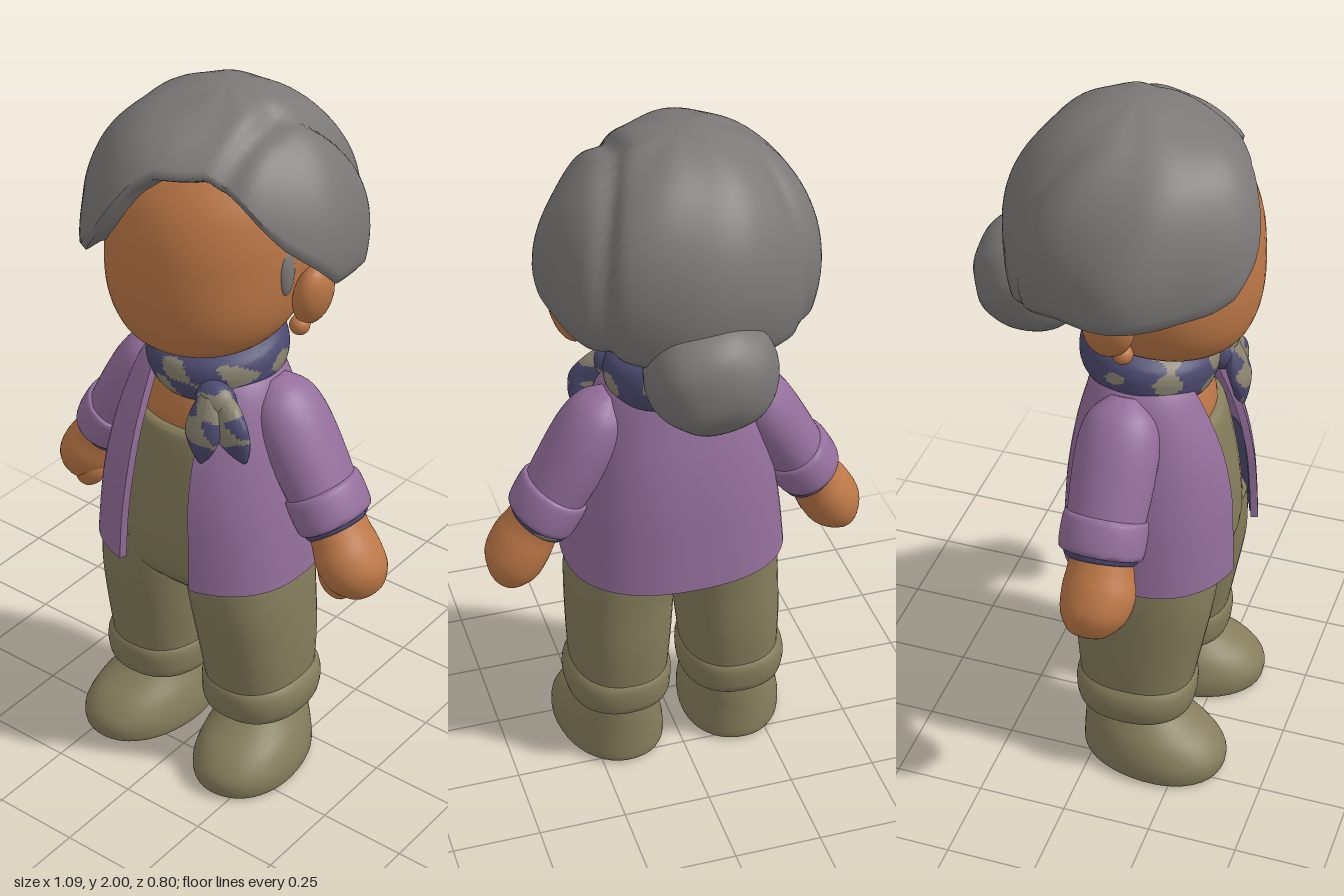
import * as THREE from 'three';
import { toCreasedNormals } from 'three/addons/utils/BufferGeometryUtils.js';

const mat = (name, color, side = THREE.FrontSide) => {
  const m = new THREE.MeshStandardMaterial({ color, side });
  m.name = name;
  return m;
};

// Surface through closed contours listed bottom to top, counter-clockwise from above
function skin(contours, capped = true) {
  const n = contours[0].length, pos = [], idx = [];
  contours.forEach(c => c.forEach(p => pos.push(...p)));
  for (let i = 0; i < contours.length - 1; i++) for (let j = 0; j < n; j++) {
    const a = i * n + j, b = i * n + (j + 1) % n;
    idx.push(a, b, b + n, a, b + n, a + n);
  }
  if (capped) [0, contours.length - 1].forEach((row, top) => {
    const mid = [0, 1, 2].map(k => contours[row].reduce((s, p) => s + p[k], 0) / n);
    const c = pos.length / 3;
    pos.push(...mid);
    for (let j = 0; j < n; j++) {
      const a = row * n + j, b = row * n + (j + 1) % n;
      idx.push(...(top ? [c, a, b] : [c, b, a]));
    }
  });
  const g = new THREE.BufferGeometry();
  g.setAttribute('position', new THREE.Float32BufferAttribute(pos, 3));
  g.setIndex(idx);
  return toCreasedNormals(g, 0.9);
}

// Smooth in-between rings
function refine(rings, steps) {
  const out = [], at = i => rings[Math.min(Math.max(i, 0), rings.length - 1)];
  for (let i = 0; i < rings.length - 1; i++) for (let s = 0; s < steps; s++) {
    const t = s / steps;
    out.push(rings[i].map((b, k) => {
      const a = at(i - 1)[k], c = at(i + 1)[k], d = at(i + 2)[k];
      return 0.5 * (2 * b + (c - a) * t + (2 * a - 5 * b + 4 * c - d) * t * t + (3 * b - a - 3 * c + d) * t ** 3);
    }));
  }
  out.push(at(rings.length - 1));
  return out;
}

const pw = (v, p) => Math.sign(v) * Math.abs(v) ** (2 / p);
const oval = ([x, y, z, rx, rz], a, p) => [x + rx * pw(Math.sin(a), p), y, z + rz * pw(Math.cos(a), p)];

// Rings are [x, y, z, radiusX, radiusZ]; p above 2 squares the section
function loft(rings, { seg = 40, steps = 4, p = 2 } = {}) {
  return skin(refine(rings, steps).map(r =>
    Array.from({ length: seg }, (_, j) => oval(r, j / seg * Math.PI * 2, p))));
}

// Open-fronted shell; the sixth number of a ring is half the opening
function openShell(rings, thick, p, n = 48) {
  const fine = refine(rings, 4);
  const contour = (r, t) => {
    const a0 = Math.asin(Math.min(1, r[5] / r[3]) ** (p / 2)), outer = [], inner = [];
    for (let j = 0; j <= n; j++) {
      const a = a0 + (2 * Math.PI - 2 * a0) * j / n;
      outer.push(oval([r[0], r[1], r[2], r[3] - thick + t, r[4] - thick + t], a, p));
      inner.unshift(oval([r[0], r[1], r[2], r[3] - thick, r[4] - thick], a, p));
    }
    return outer.concat(inner);
  };
  return skin([contour(fine[0], 0), ...fine.map(r => contour(r, thick)), contour(fine.at(-1), 0)], false);
}

// Triangles in a blotchy pattern use the second material
function blotch(g) {
  const p = g.attributes.position;
  for (let i = 0; i < p.count; i += 3) {
    const [x, y, z] = ['getX', 'getY', 'getZ'].map(f => (p[f](i) + p[f](i + 1) + p[f](i + 2)) / 3);
    const v = Math.sin(x * 37 + y * 25 + 1) * Math.sin(y * 45 - z * 12 + 2) + 0.6 * Math.sin(z * 41 + x * 17);
    g.addGroup(i, 3, v > 0.52 ? 1 : 0);
  }
  return g;
}

function hairCap() {
  const hem = [[-180, 1.45], [-140, 1.48], [-110, 1.53], [-80, 1.545], [-60, 1.55], [-40, 1.575], [-30, 1.6],
    [-20, 1.67], [-8, 1.8], [0, 1.84], [25, 1.865], [36, 1.845], [43, 1.81], [50, 1.765], [60, 1.7], [74, 1.63],
    [88, 1.55], [110, 1.53], [140, 1.48], [180, 1.45]];
  const hemAt = d => {
    const i = Math.max(1, hem.findIndex(h => h[0] >= d)), [a, b] = [hem[i - 1], hem[i]];
    return a[1] + (b[1] - a[1]) * (d - a[0]) / (b[0] - a[0]);
  };
  const smooth = THREE.MathUtils.smoothstep;
  const rows = [[0.96, 0.6], [0.975, 0.87], [0.995, 0.94], [1, 0.97]];
  for (let i = 0; i < 30; i++) rows.push([0.97 - 0.95 * i / 29, 1]);
  const seg = 120;
  return skin(rows.map(([t, k]) => Array.from({ length: seg }, (_, j) => {
    const a = -Math.PI + j / seg * Math.PI * 2;
    const phi = t * Math.acos((hemAt(a * 180 / Math.PI) - 1.62) / 0.38);
    const x = 0.375 * Math.sin(phi) * Math.sin(a), z = 0.345 * Math.sin(phi) * Math.cos(a);
    // side parting, a softer one mirrored at the back, and broad locks
    const line = 0.17 + Math.max(0, -z) * 0.4;
    const groove = 0.055 * Math.exp(-(((x - line) / 0.03) ** 2))
      + 0.03 * smooth(-z, 0, 0.15) * Math.exp(-(((x + line) / 0.03) ** 2));
    // fringe swept forward on the right, flaring at the temple
    const fringe = 0.11 * Math.exp(-(((a + 0.3) / 0.55) ** 2)) * smooth(phi, 0.3, 0.95)
      + 0.035 * Math.exp(-(((a + 1.35) / 0.35) ** 2)) * smooth(phi, 1.1, 1.6);
    const s = k * (1 - groove + fringe + 0.014 * Math.sin(7 * a + 3 * phi) * Math.sin(phi));
    return [x * s, 1.62 + 0.38 * Math.cos(phi) * s, 0.045 + z * s];
  })));
}

export function createModel() {
  const model = new THREE.Group();
  const skinMat = mat('skin', 0xbd7847), hairMat = mat('greyHair', 0x7b7877), purple = mat('purpleJacket', 0x946f9c);
  const olive = mat('oliveCloth', 0x857d5c), navy = mat('navyCloth', 0x4c4a70, THREE.DoubleSide);
  const tan = mat('tanBlotches', 0x8a8470, THREE.DoubleSide);
  const add = (name, geo, material, parent = model) => {
    const m = new THREE.Mesh(geo, material);
    m.name = name;
    parent.add(m);
    return m;
  };
  const ball = (name, material, pos, r, parent = model) => {
    const m = add(name, new THREE.SphereGeometry(1, 28, 20), material, parent);
    m.position.set(...pos);
    m.scale.set(...r);
    return m;
  };

  // Head and hair
  add('head', loft([[0, 1.315, 0.13, 0.03, 0.03], [0, 1.325, 0.125, 0.11, 0.125], [0, 1.36, 0.135, 0.185, 0.195],
    [0, 1.42, 0.133, 0.235, 0.233], [0, 1.5, 0.125, 0.262, 0.255], [0, 1.6, 0.09, 0.275, 0.29],
    [0, 1.7, 0.085, 0.27, 0.282], [0, 1.8, 0.075, 0.245, 0.25], [0, 1.9, 0.06, 0.17, 0.17],
    [0, 1.94, 0.06, 0.03, 0.03]], { p: 2.1, seg: 56 }), skinMat);
  add('hair', hairCap(), hairMat);
  const bun = new THREE.SphereGeometry(1, 48, 32), bp = bun.attributes.position;
  for (let i = 0; i < bp.count; i++) {
    const x = bp.getX(i), y = bp.getY(i), z = bp.getZ(i);
    const k = 1 + 0.02 * Math.sin(6 * x + 3 * y) * Math.cos(5 * y - 3 * z);
    bp.setXYZ(i, pw(x, 2.2) * 0.173 * k, pw(y, 2.2) * 0.16 * k, pw(z, 2.2) * 0.156 * k);
  }
  bun.computeVertexNormals();
  add('hairBun', bun, hairMat).position.set(0, 1.45, -0.235);

  // Neck, chest, trousers top
  add('chest', loft([[0, 1.05, 0.11, 0.19, 0.15], [0, 1.12, 0.105, 0.185, 0.15], [0, 1.2, 0.095, 0.16, 0.135],
    [0, 1.26, 0.09, 0.12, 0.11], [0, 1.36, 0.09, 0.11, 0.11]], { p: 2.4 }), skinMat);
  add('trousersTop', loft([[0, 0.6, 0.13, 0.2, 0.15], [0, 0.64, 0.13, 0.28, 0.183], [0, 0.7, 0.13, 0.285, 0.2],
    [0, 0.85, 0.125, 0.255, 0.198], [0, 1.0, 0.115, 0.22, 0.185], [0, 1.075, 0.11, 0.205, 0.172],
    [0, 1.09, 0.11, 0.195, 0.158]], { p: 2.4 }), olive);

  // Open jacket with lining
  const body = [[0, 0.67, 0.12, 0.315, 0.257, 0.12], [0, 0.8, 0.12, 0.302, 0.25, 0.115],
    [0, 0.92, 0.118, 0.284, 0.24, 0.105], [0, 1.06, 0.112, 0.254, 0.213, 0.1], [0, 1.2, 0.1, 0.212, 0.165, 0.1],
    [0, 1.26, 0.09, 0.172, 0.14, 0.105], [0, 1.3, 0.09, 0.15, 0.13, 0.11]];
  add('jacket', openShell(body, 0.02, 2.4), purple);
  add('jacketLining', openShell(body.slice(0, 3).map(r =>
    [r[0], r[1] + 0.004, r[2], r[3] - 0.018, r[4] - 0.018, r[5] + 0.015]), 0.006, 2.4), navy);

  // Scarf with knot and two tails
  const scarf = new THREE.Group();
  scarf.name = 'scarf';
  model.add(scarf);
  const band = add('scarfBand', blotch(loft([[0, -0.075, 0, 0.14, 0.14], [0, -0.06, 0, 0.175, 0.175],
    [0, -0.01, 0, 0.193, 0.188], [0, 0.04, 0, 0.183, 0.178], [0, 0.065, 0, 0.15, 0.15]],
  { seg: 96, steps: 6 })), [navy, tan], scarf);
  band.position.set(0, 1.272, 0.085);
  band.rotation.x = 0.18;
  const knot = add('scarfKnot', blotch(new THREE.SphereGeometry(1, 36, 28).scale(0.06, 0.055, 0.045).toNonIndexed()),
    [navy, tan], scarf);
  knot.position.set(0.125, 1.215, 0.25);
  [[0.12, 0, 0.17], [0.155, 0.52, 0.165]].forEach(([x, turn, len], i) => {
    const tail = add('scarfTail' + (i + 1), blotch(loft([[0, -len, 0.01, 0.006, 0.006], [0, -len * 0.8, 0.012, 0.034, 0.018],
      [0, -len * 0.5, 0.015, 0.054, 0.026], [0, -len * 0.15, 0.005, 0.045, 0.028], [0, 0.02, 0, 0.025, 0.02]],
    { seg: 32, steps: 7 })), [navy, tan], scarf);
    tail.position.set(x, 1.22, 0.275 - 0.02 * i);
    tail.rotation.set(-0.15 + 0.1 * i, 0, turn);
  });

  // Paired parts
  for (const s of [1, -1]) {
    const side = s > 0 ? 'left' : 'right';
    ball(side + 'Ear', skinMat, [s * 0.296, 1.51, 0.068], [0.045, 0.092, 0.068]).rotation.set(0.2, 0, -s * 0.22);
    ball(side + 'Earring', skinMat, [s * 0.278, 1.428, 0.1], [0.027, 0.027, 0.027]);
    ball(side + 'Sideburn', hairMat, [s * 0.262, 1.59, 0.14], [0.018, 0.065, 0.028]);

    // Arm, built along its own axis with the cuff at the origin
    const arm = new THREE.Group();
    arm.name = side + 'Arm';
    arm.position.set(s * 0.39, 0.86, 0.076);
    arm.rotation.z = s * 0.53;
    model.add(arm);
    add(side + 'Sleeve', loft([[0, 0.08, 0, 0.086, 0.105], [0, 0.2, 0, 0.092, 0.112], [0, 0.3, 0, 0.09, 0.11],
      [0, 0.37, 0, 0.072, 0.09], [0, 0.42, 0, 0.03, 0.04]]), purple, arm);
    add(side + 'SleeveCuff', loft([[0, 0, 0, 0.086, 0.106], [0, 0.008, 0, 0.096, 0.115], [0, 0.05, 0, 0.1, 0.118],
      [0, 0.095, 0, 0.097, 0.115], [0, 0.105, 0, 0.085, 0.104]]), purple, arm);
    add(side + 'CuffLining', blotch(loft([[-s * 0.012, -0.022, 0, 0.078, 0.088], [-s * 0.004, -0.008, 0, 0.086, 0.1],
      [0, 0.01, 0, 0.086, 0.104]])), [navy, tan], arm);
    add(side + 'Hand', loft([[0, -0.227, 0, 0.015, 0.02], [0, -0.214, 0, 0.045, 0.055],
      [0, -0.165, 0.008, 0.08, 0.09], [0, -0.1, 0.012, 0.084, 0.1], [0, -0.04, 0.008, 0.076, 0.09],
      [0, 0.03, 0, 0.07, 0.085]]), skinMat, arm);
    ball(side + 'Thumb', skinMat, [-s * 0.045, -0.145, 0.045], [0.043, 0.065, 0.045], arm);

    // Leg with turned-up hem
    add(side + 'TrouserLeg', loft([[s * 0.168, 0.24, 0.108, 0.136, 0.154], [s * 0.163, 0.4, 0.115, 0.146, 0.176],
      [s * 0.155, 0.55, 0.128, 0.152, 0.189], [s * 0.146, 0.64, 0.13, 0.156, 0.192],
      [s * 0.14, 0.72, 0.13, 0.152, 0.19]], { p: 2.3 }), olive);
    add(side + 'TrouserHem', loft([[s * 0.17, 0.19, 0.11, 0.12, 0.14], [s * 0.17, 0.2, 0.11, 0.145, 0.162],
      [s * 0.172, 0.245, 0.11, 0.154, 0.17], [s * 0.17, 0.285, 0.11, 0.15, 0.168],
      [s * 0.17, 0.31, 0.11, 0.134, 0.15]], { p: 2.3 }), olive);
    const shoe = add(side + 'Shoe', loft([[0, 0, 0.17, 0.138, 0.195], [0, 0.015, 0.17, 0.149, 0.21],
      [0, 0.06, 0.17, 0.148, 0.21], [0, 0.11, 0.15, 0.134, 0.188], [0, 0.155, 0.115, 0.113, 0.152],
      [0, 0.2, 0.09, 0.095, 0.122], [0, 0.25, 0.09, 0.09, 0.11]], { p: 2.15 }), olive);
    shoe.position.set(s * 0.16, 0, 0);
    shoe.rotation.y = s * 0.16;
  }
  return model;
}
